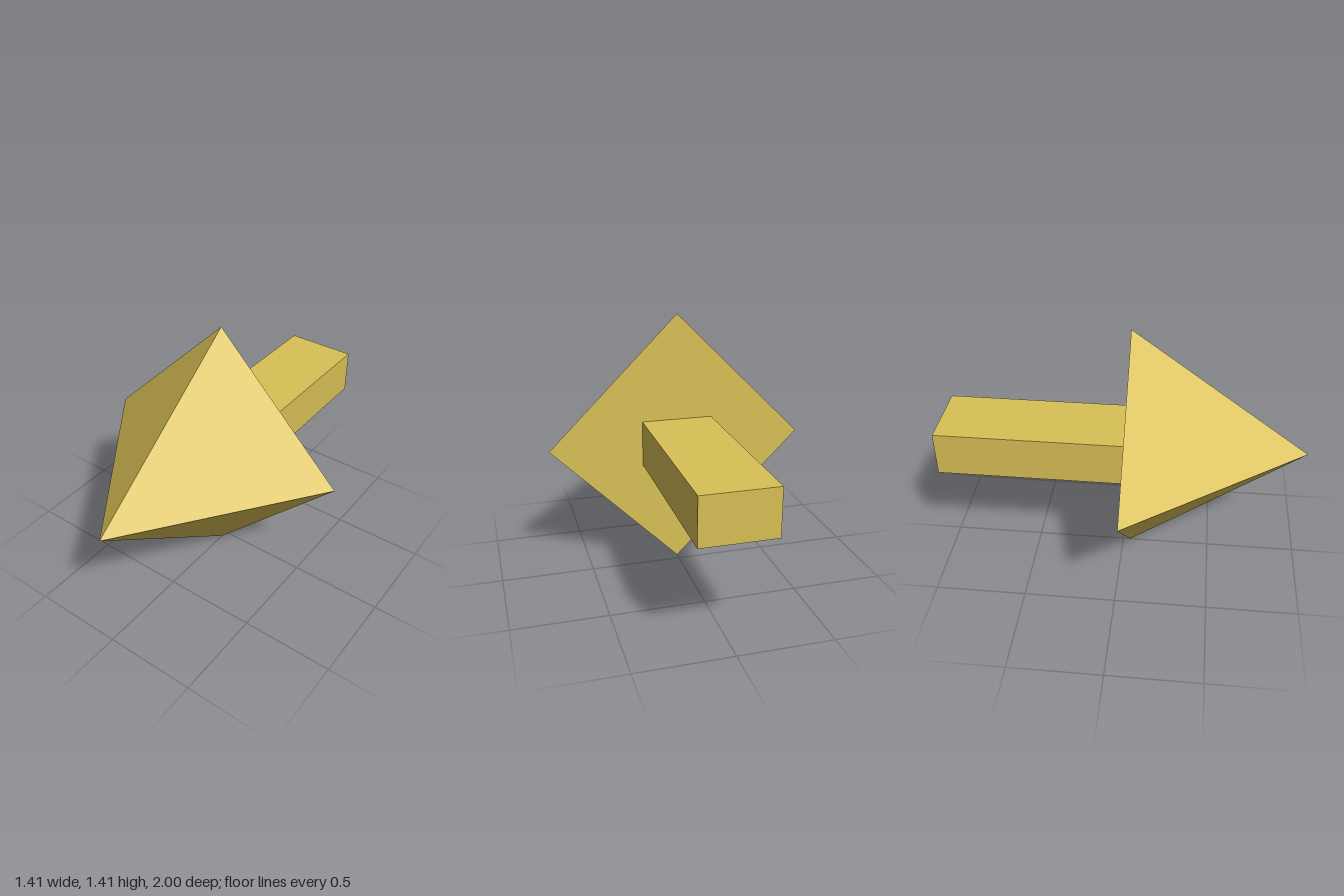
import * as THREE from 'three';

export function createModel() {
  const model = new THREE.Group();
  model.name = 'arrow';
  const gold = new THREE.MeshStandardMaterial({ color: 0xd9c056, flatShading: true });
  gold.name = 'gold';

  const midY = 0.705; // height of the arrow's axis
  const baseZ = 0.04; // where head and shaft meet

  // Four-sided pyramid head pointing forward
  const headLength = 1 - baseZ;
  const headGeometry = new THREE.ConeGeometry(midY, headLength, 4);
  headGeometry.rotateX(Math.PI / 2);
  const head = new THREE.Mesh(headGeometry, gold);
  head.name = 'arrowHead';
  head.position.set(0, midY, baseZ + headLength / 2);

  // Flat rectangular shaft running back from the head
  const shaftLength = 1 + baseZ;
  const shaft = new THREE.Mesh(new THREE.BoxGeometry(0.39, 0.25, shaftLength), gold);
  shaft.name = 'arrowShaft';
  shaft.position.set(0, midY, baseZ - shaftLength / 2);

  model.add(head, shaft);
  return model;
}
